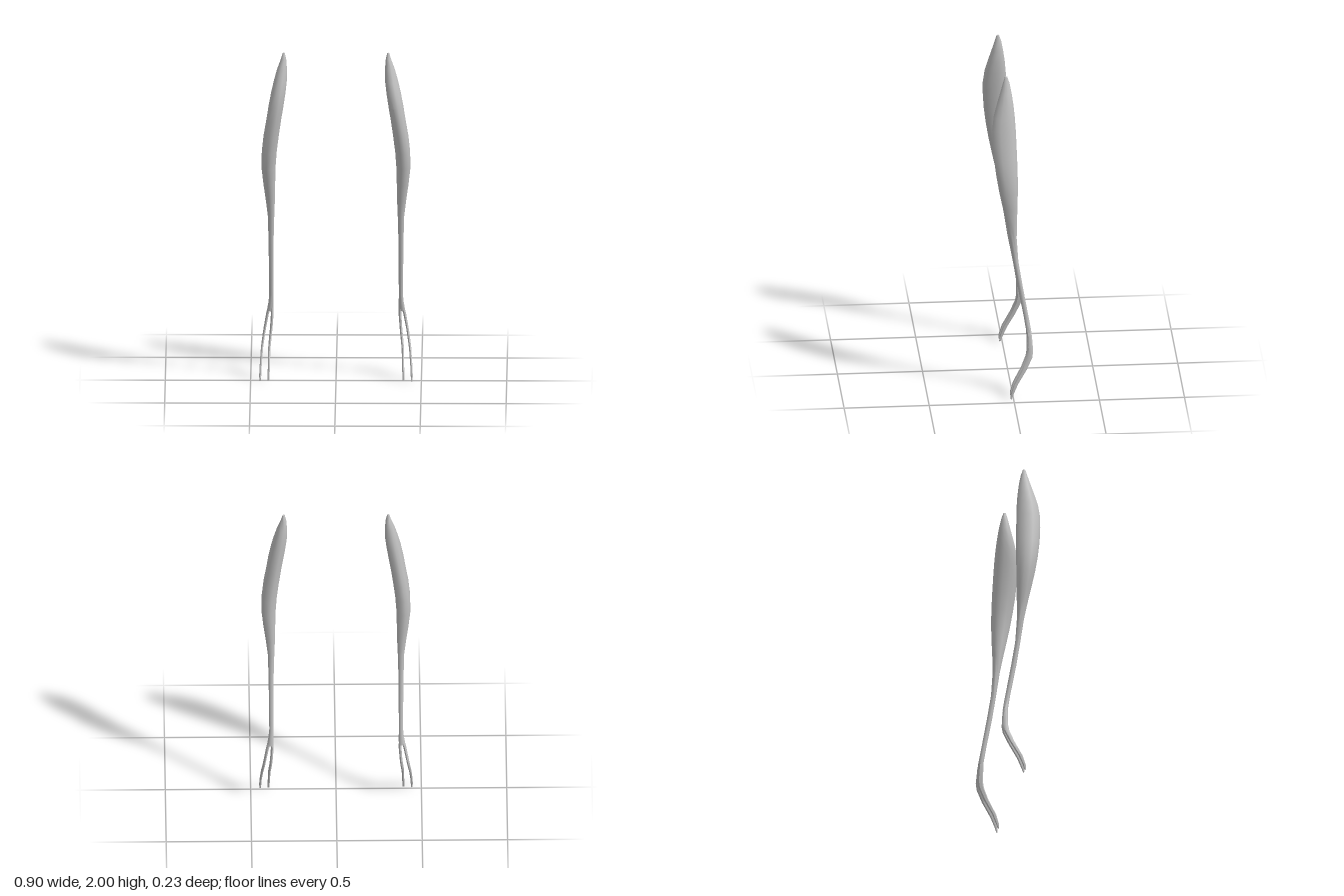
import * as THREE from 'three';
import { mergeVertices, toCreasedNormals } from 'three/addons/utils/BufferGeometryUtils.js';

// Closed loft through level sections, each [y, xMin, xMax, zMin, zMax], from top to bottom.
function loft(rows, sides, mirror, power) {
  const pos = [], idx = [];
  const bend = (v) => Math.sign(v) * Math.pow(Math.abs(v), power);
  for (const [y, x0, x1, z0, z1] of rows) {
    for (let i = 0; i < sides; i++) {
      const a = ((i + 0.5) / sides) * Math.PI * 2;
      const x = (x0 + x1) / 2 + bend(Math.cos(a)) * (x1 - x0) / 2;
      const z = (z0 + z1) / 2 + bend(Math.sin(a)) * (z1 - z0) / 2;
      pos.push(x * mirror, y, z);
    }
  }
  const face = (a, b, c) => (mirror > 0 ? idx.push(a, b, c) : idx.push(a, c, b));
  for (let r = 0; r < rows.length - 1; r++) {
    for (let i = 0; i < sides; i++) {
      const j = (i + 1) % sides;
      const a = r * sides + i, b = r * sides + j, c = a + sides, d = b + sides;
      face(a, b, c);
      face(b, d, c);
    }
  }
  // End caps
  const last = (rows.length - 1) * sides;
  for (let i = 1; i < sides - 1; i++) {
    face(0, i + 1, i);
    face(last, last + i, last + i + 1);
  }
  const g = new THREE.BufferGeometry();
  g.setAttribute('position', new THREE.Float32BufferAttribute(pos, 3));
  g.setIndex(idx);
  return toCreasedNormals(mergeVertices(g), 0.75);
}

// Swollen upper body tapering to a thin shaft
const limbRows = [
  [2.0, 0.3, 0.312, 0.025, 0.04],
  [1.96, 0.291, 0.324, 0.012, 0.052],
  [1.9, 0.286, 0.346, 0.0, 0.069],
  [1.83, 0.287, 0.365, -0.01, 0.09],
  [1.76, 0.295, 0.381, -0.017, 0.109],
  [1.68, 0.307, 0.396, -0.022, 0.119],
  [1.6, 0.32, 0.408, -0.025, 0.118],
  [1.5, 0.334, 0.425, -0.028, 0.111],
  [1.4, 0.346, 0.436, -0.03, 0.098],
  [1.3, 0.353, 0.437, -0.03, 0.081],
  [1.2, 0.355, 0.426, -0.028, 0.06],
  [1.1, 0.357, 0.412, -0.025, 0.038],
  [1.0, 0.361, 0.4, -0.024, 0.018],
  [0.85, 0.365, 0.396, -0.034, -0.004],
  [0.7, 0.366, 0.394, -0.058, -0.027],
  [0.5, 0.367, 0.392, -0.093, -0.064],
  [0.45, 0.366, 0.397, -0.102, -0.072],
  [0.4, 0.366, 0.406, -0.11, -0.08],
];

// Fork tips: each row is [y, x, z, width, depth]
const outerPath = [
  [0.42, 0.392, -0.092, 0.02, 0.026],
  [0.38, 0.402, -0.097, 0.018, 0.029],
  [0.29, 0.418, -0.101, 0.016, 0.034],
  [0.25, 0.424, -0.094, 0.016, 0.035],
  [0.18, 0.434, -0.064, 0.015, 0.03],
  [0.09, 0.441, -0.014, 0.014, 0.025],
  [0.03, 0.444, 0.008, 0.014, 0.018],
  [0.0, 0.443, 0.013, 0.011, 0.009],
];
const innerPath = [
  [0.42, 0.376, -0.091, 0.02, 0.026],
  [0.38, 0.374, -0.095, 0.018, 0.029],
  [0.29, 0.38, -0.099, 0.017, 0.033],
  [0.25, 0.384, -0.092, 0.017, 0.034],
  [0.18, 0.391, -0.062, 0.016, 0.03],
  [0.09, 0.393, -0.013, 0.014, 0.025],
  [0.03, 0.395, 0.008, 0.014, 0.018],
  [0.005, 0.395, 0.013, 0.011, 0.009],
];
const toRows = (path) => path.map(([y, x, z, w, d]) => [y, x - w / 2, x + w / 2, z - d / 2, z + d / 2]);

export function createModel() {
  const model = new THREE.Group();
  model.name = 'forkedLimbPair';
  const grey = new THREE.MeshStandardMaterial({ color: 0xc0c0c0 });
  grey.name = 'grey';

  for (const [label, side] of [['left', 1], ['right', -1]]) {
    const limb = new THREE.Group();
    limb.name = label + 'Limb';
    const add = (name, rows, sides, power) => {
      const mesh = new THREE.Mesh(loft(rows, sides, side, power), grey);
      mesh.name = name;
      limb.add(mesh);
    };
    add('limbBody', limbRows, 12, 0.92);
    add('outerProng', toRows(outerPath), 6, 0.9);
    add('innerProng', toRows(innerPath), 6, 0.9);
    model.add(limb);
  }
  return model;
}
